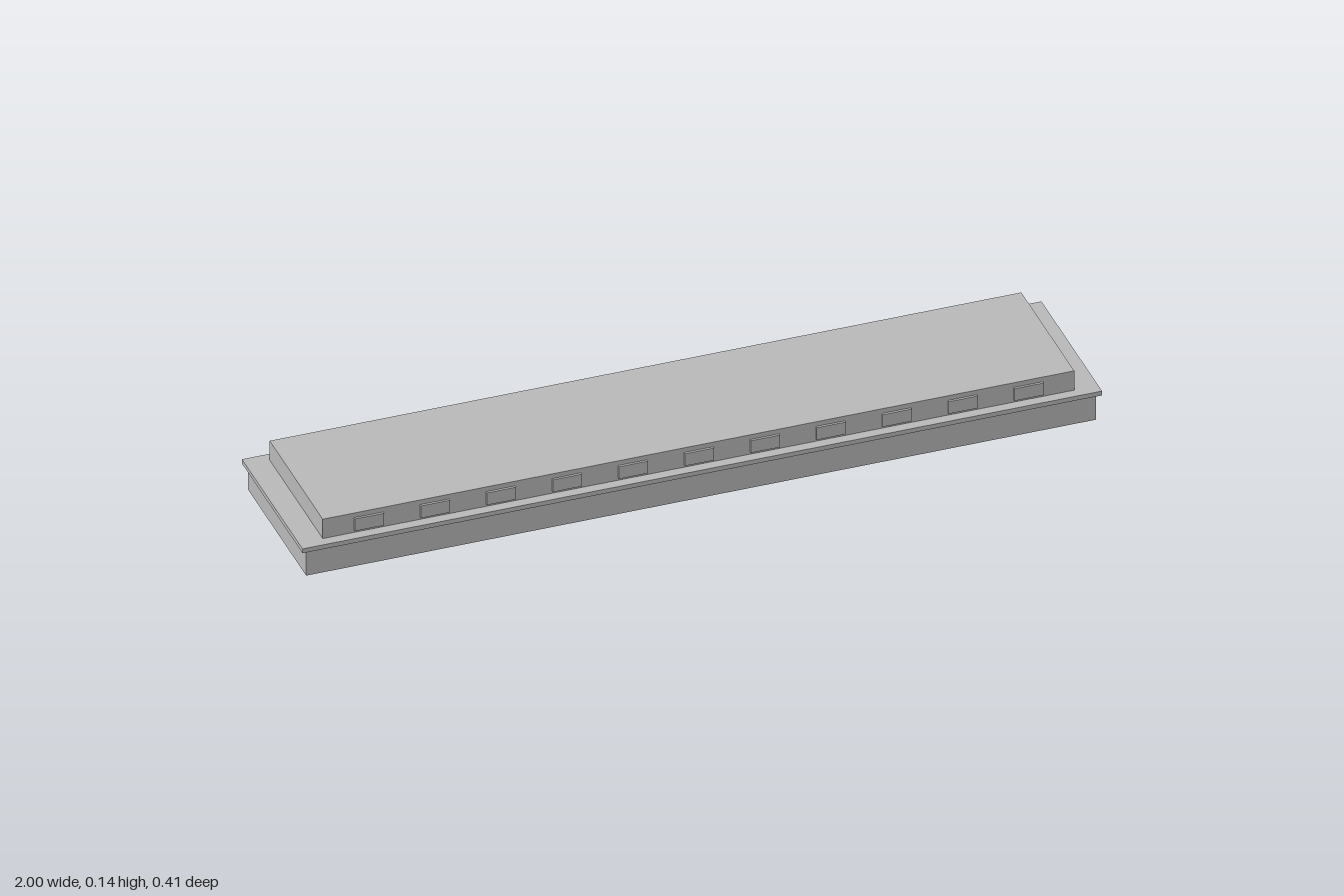
import * as THREE from 'three';

export function createModel() {
  const model = new THREE.Group();
  const grey = new THREE.MeshStandardMaterial({ color: 0xb8b8b8 });
  grey.name = 'plain grey';

  // Box given by its width, depth, bottom and top heights, and centre in x and z
  function block(name, width, depth, bottom, top, x = 0, z = 0) {
    const mesh = new THREE.Mesh(new THREE.BoxGeometry(width, top - bottom, depth), grey);
    mesh.name = name;
    mesh.position.set(x, (bottom + top) / 2, z);
    model.add(mesh);
  }

  // Stacked body: base, thin overhanging ledge, set-back upper storey
  block('base', 1.976, 0.399, 0, 0.07);
  block('ledge', 2, 0.415, 0.07, 0.082);
  block('upperStorey', 1.88, 0.363, 0.082, 0.136);

  // Row of eleven raised windows along the front
  for (let i = -5; i <= 5; i++) {
    block(`window${i + 6}`, 0.073, 0.007, 0.089, 0.123, i * 0.165, 0.184);
  }

  return model;
}
